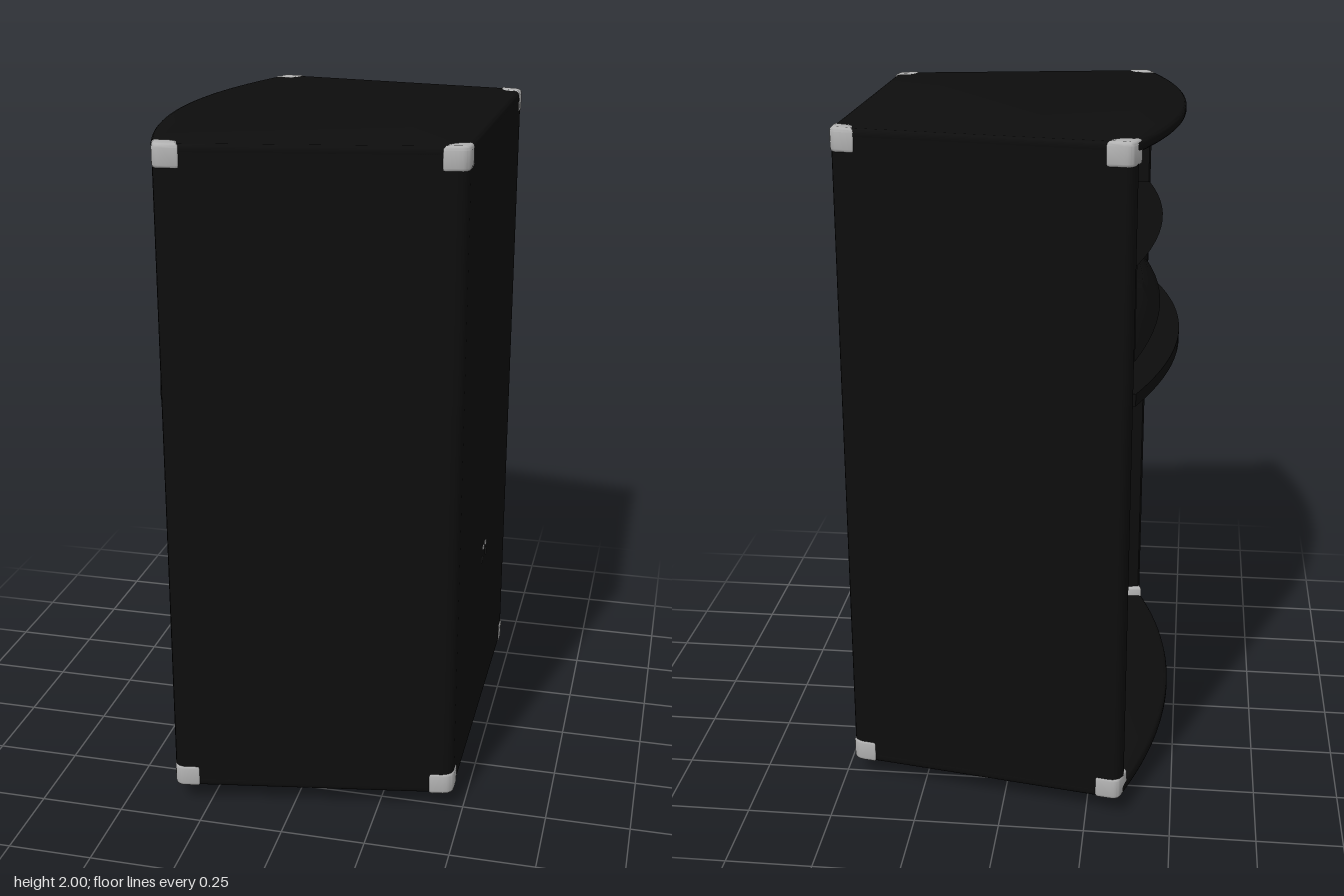
import * as THREE from 'three';
import { toCreasedNormals } from 'three/addons/utils/BufferGeometryUtils.js';

const material = (name, color, side = THREE.FrontSide) => {
  const m = new THREE.MeshStandardMaterial({ color, side });
  m.name = name;
  return m;
};

// Closed outline of [x, z, cornerRadius] points
function outline(points) {
  const shape = new THREE.Shape();
  const v = points.map(p => new THREE.Vector2(p[0], p[1]));
  const n = v.length;
  v.forEach((p, i) => {
    const r = points[i][2] || 0;
    const toward = q => q.clone().sub(p).setLength(r).add(p);
    const a = r ? toward(v[(i + n - 1) % n]) : p;
    if (i === 0) shape.moveTo(a.x, a.y); else shape.lineTo(a.x, a.y);
    if (r) {
      const b = toward(v[(i + 1) % n]);
      shape.quadraticCurveTo(p.x, p.y, b.x, b.y);
    }
  });
  shape.closePath();
  return shape;
}

// Half outline continued by its mirror image across z = 0
const mirrored = half => outline([...half, ...half.slice().reverse().map(([x, z, r]) => [x, -z, r])]);

// Vertical slab of a plan outline, with optional rounded rims
function slab(shape, y0, y1, bevel = 0) {
  const g = new THREE.ExtrudeGeometry(shape, {
    depth: y1 - y0 - 2 * bevel, bevelEnabled: bevel > 0, bevelSize: bevel,
    bevelThickness: bevel, bevelOffset: -bevel, bevelSegments: 3, curveSegments: 5,
  });
  g.rotateX(-Math.PI / 2).translate(0, y0 + bevel, 0);
  return toCreasedNormals(g, 0.6);
}

// Bowed front edge of the shelves, from the side toward the middle
function bow(halfWidth) {
  const pts = [];
  for (let i = 0; i < 14; i++) {
    const z = halfWidth * (1 - i / 13.5);
    pts.push([-0.475 + 0.115 * (z / 0.64) ** 2, z]);
  }
  return pts;
}

// Flared horn: rectangular sections [halfWidth, halfHeight, x, forward bow]
function hornGeometry() {
  const sections = [
    [0.55, 0.135, -0.31, 0], [0.55, 0.135, -0.36, 0.055], [0.50, 0.10, -0.34, 0.046],
    [0.42, 0.075, -0.32, 0.04], [0.25, 0.055, -0.22, 0.02], [0.12, 0.045, -0.13, 0],
    [0.001, 0.001, -0.13, 0],
  ];
  const N = 12, pos = [], index = [], ring = [];
  for (let i = 0; i <= N; i++) ring.push([-1 + 2 * i / N, 1]);
  for (let i = 0; i <= N; i++) ring.push([1 - 2 * i / N, -1]);
  const count = ring.length;
  for (const [w, h, x, b] of sections)
    for (const [u, v] of ring) pos.push(x - b * (1 - u * u), 1.515 + v * h, u * w);
  for (let s = 0; s < sections.length - 1; s++)
    for (let i = 0; i < count; i++) {
      const a = s * count + i, b = s * count + (i + 1) % count;
      index.push(a, b, a + count, b, b + count, a + count);
    }
  const g = new THREE.BufferGeometry();
  g.setAttribute('position', new THREE.Float32BufferAttribute(pos, 3));
  g.setIndex(index);
  return toCreasedNormals(g, 0.6);
}

export function createModel() {
  const model = new THREE.Group();
  model.name = 'loudspeaker';
  const black = material('cabinetBlack', 0x0d0d0d);
  const hornBlack = material('hornBlack', 0x0c0c0c, THREE.DoubleSide);
  const grey = material('coneGrey', 0x323232);
  const silver = material('cornerSilver', 0xb2b2b2);
  const add = (name, geometry, mat, x = 0, y = 0, z = 0) => {
    const m = new THREE.Mesh(geometry, mat);
    m.name = name;
    m.position.set(x, y, z);
    model.add(m);
    return m;
  };

  // Wedge-shaped cabinet: bowed end plates and recessed bays between side lips
  const rear = [0.47, 0.53, 0.03], front = [-0.345, 0.672, 0.025];
  const plate = mirrored([rear, front, ...bow(0.635)]);
  const bay = depth => mirrored([rear, front, [-0.36, 0.635], [-0.355, 0.615], [depth, 0.61]]);
  add('topPlate', slab(plate, 1.967, 2, 0.012), black);
  add('bottomPlate', slab(plate, 0.06, 0.096, 0.012), black);
  add('wooferBay', slab(bay(-0.32), 0.08, 1.29), black);
  add('hornBay', slab(bay(-0.1), 1.29, 1.98), black);
  add('middleShelf', slab(mirrored([[-0.3, 0.62], ...bow(0.62)]), 1.275, 1.31), black);

  // Panel with an opening around the horn
  const panel = outline([[-0.615, 1.3], [0.615, 1.3], [0.615, 1.975], [-0.615, 1.975]]);
  panel.holes.push(outline([[-0.53, 1.4], [-0.53, 1.63], [0.53, 1.63], [0.53, 1.4]]));
  const panelGeometry = new THREE.ExtrudeGeometry(panel, { depth: 0.02, bevelEnabled: false });
  add('hornPanel', panelGeometry.rotateY(-Math.PI / 2), black, -0.3);
  add('horn', hornGeometry(), hornBlack);

  // Woofer
  add('wooferCone', new THREE.RingGeometry(0.13, 0.42, 64).rotateY(-Math.PI / 2), grey, -0.325, 0.7);
  add('dustCap', new THREE.SphereGeometry(0.134, 32, 16).scale(0.12, 1, 1), black, -0.32, 0.7);

  // Corner protectors, feet and sockets in mirrored pairs
  const e = 0.003;
  for (const s of [1, -1]) {
    const corners = {
      front: [[-0.345 - e, 0.672 + e, 0.025], [-0.37, 0.605, 0.01], [-0.295, 0.6, 0.035], [-0.275, 0.66 + e, 0.01]],
      rear: [[0.47 + e, 0.53 + e, 0.03], [0.4, 0.542 + e, 0.01], [0.41, 0.475, 0.035], [0.47 + e, 0.46, 0.01]],
    };
    for (const [name, pts] of Object.entries(corners)) {
      const shape = outline(pts.map(([x, z, r]) => [x, s * z, r]));
      add(name + 'BottomCorner', slab(shape, 0.058, 0.13, 0.012), silver);
      add(name + 'TopCorner', slab(shape, 1.932, 2.002, 0.012), silver);
    }
    const foot = new THREE.CylinderGeometry(0.056, 0.04, 0.065, 24);
    add('frontFoot', foot, black, -0.22, 0.0325, s * 0.47);
    add('rearFoot', foot, black, 0.28, 0.0325, s * 0.36);
    add('socketPin', new THREE.BoxGeometry(0.008, 0.012, 0.012), silver, 0.47, 0.645, s * 0.02);
    add('socketScrew', new THREE.BoxGeometry(0.006, 0.02, 0.014), grey, 0.47, 0.607, s * 0.035);
  }
  return model;
}
